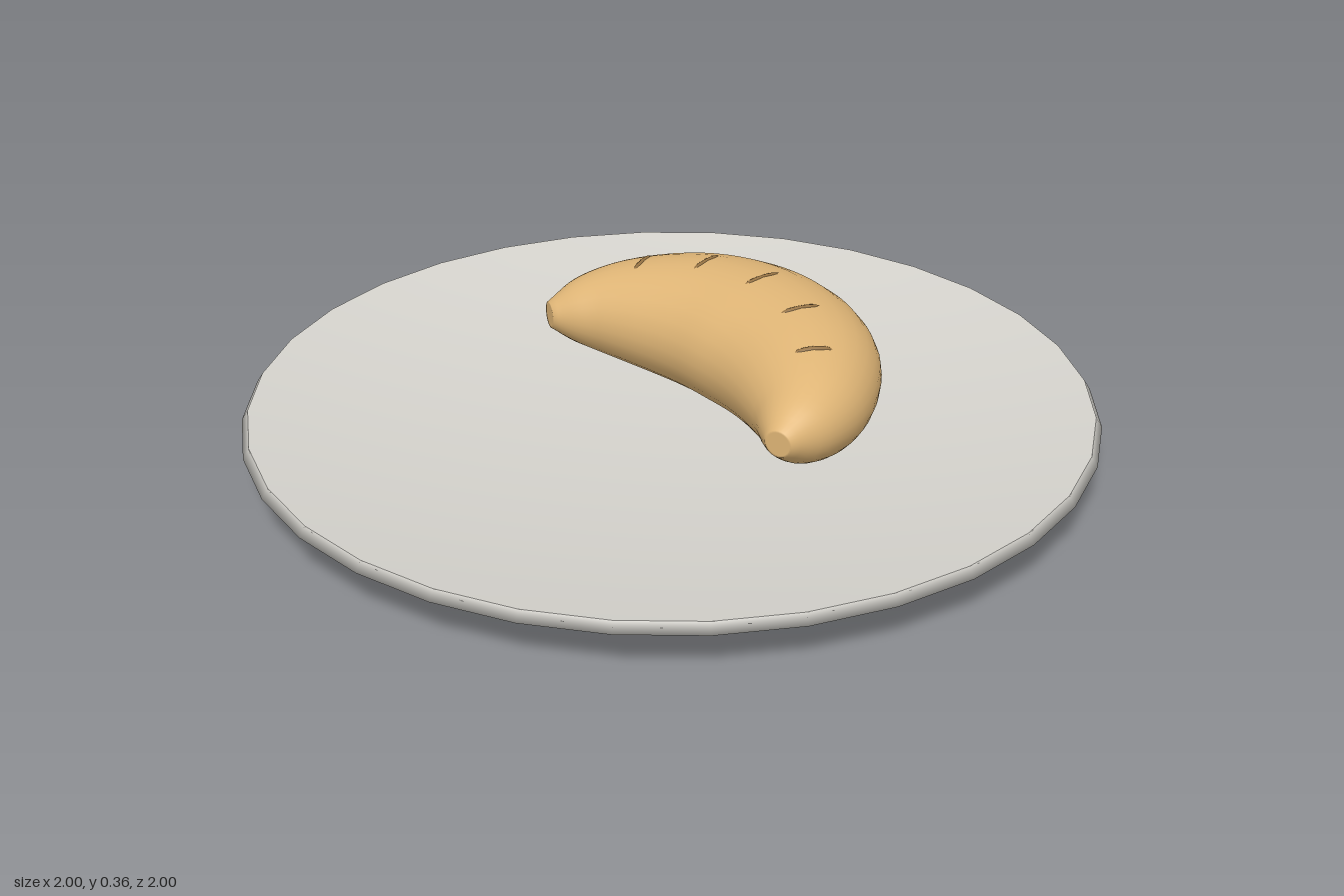
import * as THREE from 'three';

const pastry = new THREE.MeshStandardMaterial({ color: 0xdfb576 });
pastry.name = 'golden pastry';
const crust = new THREE.MeshStandardMaterial({ color: 0x957243 });
crust.name = 'dark crust';
const ceramic = new THREE.MeshStandardMaterial({ color: 0xd5d3cd });
ceramic.name = 'pale ceramic';

// Inner and outer outline of the crescent (x, z), mirrored from middle to tip
function rail(half) {
  const back = half.slice(1).reverse().map(([x, z]) => [x, -z]);
  return new THREE.CatmullRomCurve3([...back, ...half].map(([x, z]) => new THREE.Vector3(x, 0, z)));
}
const inner = rail([[0.058, 0], [0.055, 0.09], [0.038, 0.18], [0, 0.295], [-0.027, 0.347], [-0.053, 0.398]]);
const outer = rail([[0.49, 0], [0.462, 0.165], [0.378, 0.312], [0.222, 0.437], [0.08, 0.48], [-0.03, 0.462]]);

// Point on the pastry skin: t along the crescent, a around it from the top
function skin(t, a, scale = 1) {
  const p = inner.getPoint(t);
  const q = outer.getPoint(t);
  const w = p.distanceTo(q) / 2;
  const height = w * (1 - 1.07 * w);
  const point = p.lerp(q, 0.5 + 0.5 * Math.sin(a) * scale);
  point.y = 0.192 + Math.cos(a) * height * scale;
  return point;
}

function crescentGeometry() {
  const rings = [[0, 0], [0, 0.85]];
  const steps = 44, sides = 28;
  for (let i = 0; i <= steps; i++) rings.push([i / steps, 1]);
  rings.push([1, 0.85], [1, 0]);
  const pos = [], index = [];
  rings.forEach(([t, s], i) => {
    for (let j = 0; j < sides; j++) {
      pos.push(...skin(t, (j / sides) * Math.PI * 2, s).toArray());
      if (i === rings.length - 1) continue;
      const k = (j + 1) % sides;
      const a = i * sides + j, b = i * sides + k;
      index.push(a, a + sides, b, b, a + sides, b + sides);
    }
  });
  const g = new THREE.BufferGeometry();
  g.setAttribute('position', new THREE.Float32BufferAttribute(pos, 3));
  g.setIndex(index);
  g.computeVertexNormals();
  return g;
}

function lathe(name, points) {
  const g = new THREE.LatheGeometry(points.map(([x, y]) => new THREE.Vector2(x, y)), 32);
  const mesh = new THREE.Mesh(g, ceramic);
  mesh.name = name;
  return mesh;
}

export function createModel() {
  const model = new THREE.Group();
  model.name = 'pastryOnPlate';

  // Plate: underside rolling into a thin lip, and a shallow dish
  const plate = new THREE.Group();
  plate.name = 'plate';
  const dish = [];
  for (let i = 10; i >= 0; i--) {
    dish.push([0.985 * (i / 10), 0.042 + 0.087 * (i / 10) ** 2]);
  }
  plate.add(
    lathe('plateUnderside', [[0, 0], [0.7, 0], [0.725, 0.003], [0.75, 0.02], [1, 0.105], [0.985, 0.129]]),
    lathe('plateDish', dish),
  );
  model.add(plate);

  // Crescent pastry
  const body = new THREE.Mesh(crescentGeometry(), pastry);
  body.name = 'crescentPastry';
  model.add(body);

  // Five score marks across the ridge, their ends sunk into the skin
  for (const t of [0.247, 0.363, 0.5, 0.637, 0.753]) {
    const pts = [];
    for (let i = -4; i <= 4; i++) pts.push(skin(t, i * 0.078, 0.98 - 0.05 * (i / 4) ** 4));
    const g = new THREE.TubeGeometry(new THREE.CatmullRomCurve3(pts), 16, 0.0065, 8);
    const mark = new THREE.Mesh(g, crust);
    mark.name = 'scoreMark';
    model.add(mark);
  }
  return model;
}
